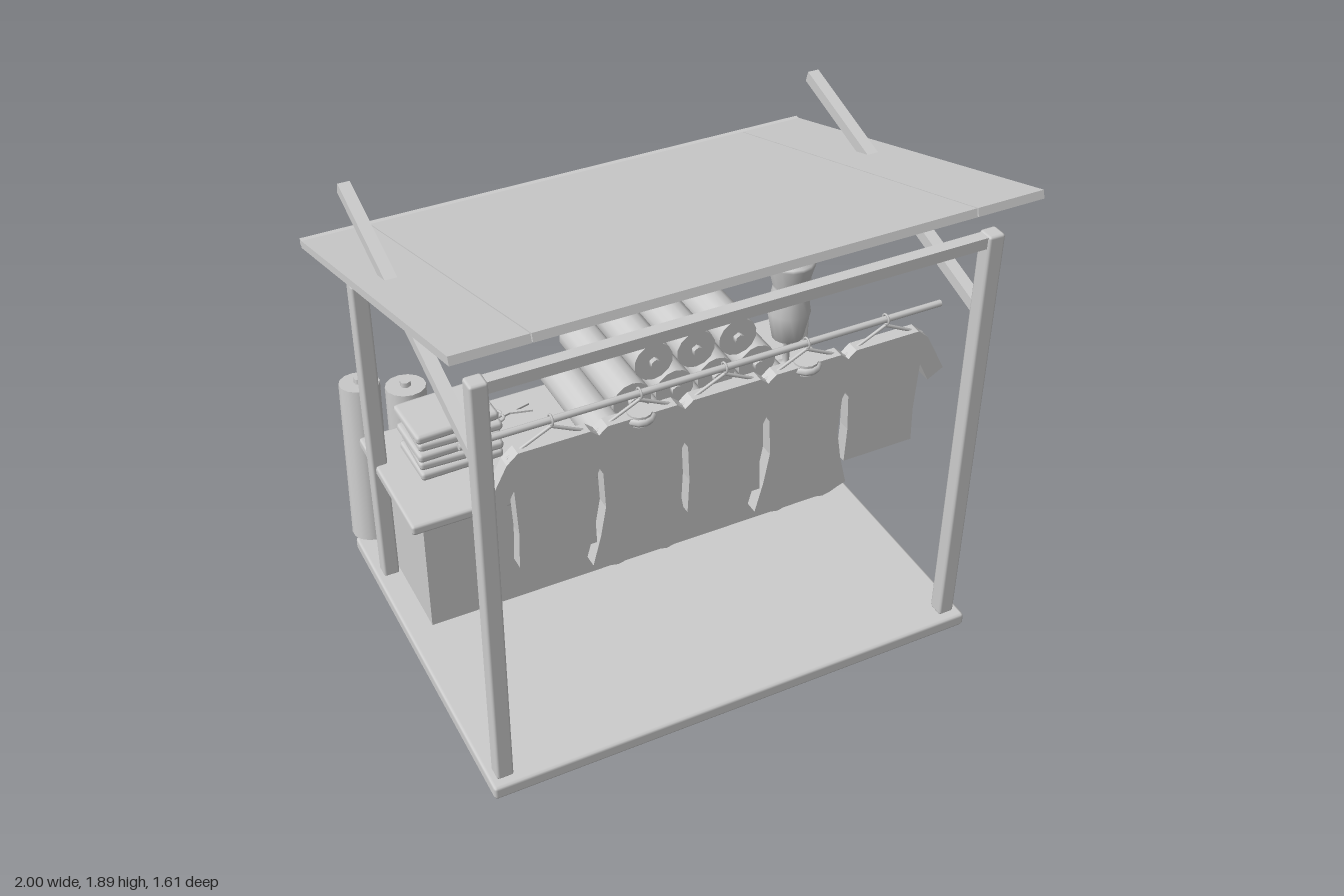
import * as THREE from 'three';
import { RoundedBoxGeometry } from 'three/addons/geometries/RoundedBoxGeometry.js';

const grey = new THREE.MeshStandardMaterial({ color: 0xcccccc });
grey.name = 'plain grey';

function add(parent, name, geometry, x = 0, y = 0, z = 0) {
  const mesh = new THREE.Mesh(geometry, grey);
  mesh.name = name;
  mesh.position.set(x, y, z);
  parent.add(mesh);
  return mesh;
}

function group(parent, name, x = 0, y = 0, z = 0) {
  const g = new THREE.Group();
  g.name = name;
  g.position.set(x, y, z);
  parent.add(g);
  return g;
}

const box = (w, h, d) => new THREE.BoxGeometry(w, h, d);
const rounded = (w, h, d, r = 0.01) => new RoundedBoxGeometry(w, h, d, 1, r);

// Cylinder of cloth along y, with a core that sticks out of both ends
function clothRoll(parent, name, length) {
  const roll = group(parent, name);
  add(roll, 'rolledCloth', new THREE.CylinderGeometry(0.078, 0.078, length, 14));
  add(roll, 'rollCore', new THREE.CylinderGeometry(0.021, 0.021, length + 0.04, 6));
  return roll;
}

// Tilted roll between two points
function leaningRoll(parent, bottom, top) {
  const a = new THREE.Vector3(...bottom), b = new THREE.Vector3(...top);
  const dir = b.clone().sub(a);
  const roll = clothRoll(parent, 'leaningRoll', dir.length());
  roll.position.copy(a).add(b).multiplyScalar(0.5);
  roll.quaternion.setFromUnitVectors(new THREE.Vector3(0, 1, 0), dir.normalize());
}

// Shirt or dress outline, mirrored about its middle
function garmentGeometry(dress) {
  const half = [
    [0.04, 1.235], [0.125, 1.235], [0.165, 1.2], [0.245, 1.045], [0.185, 1.01],
    [0.145, 1.09], [0.135, 0.9],
  ];
  half.push(...(dress ? [[0.155, 0.78], [0.185, 0.66]] : [[0.14, 0.76]]));
  const s = new THREE.Shape();
  s.moveTo(0, 1.235);
  half.forEach(([x, y]) => s.lineTo(x, y));
  if (dress) {
    // wavy hem
    for (let i = 1; i < 12; i++) {
      const x = 0.185 - i * 0.37 / 12;
      s.lineTo(x, 0.643 + 0.014 * Math.cos(i * Math.PI / 3));
    }
  }
  half.reverse().forEach(([x, y]) => s.lineTo(-x, y));
  s.closePath();
  const g = new THREE.ExtrudeGeometry(s, { depth: 0.048, bevelEnabled: false });
  return g.translate(0, 0, -0.024);
}

function garment(parent, x, dress) {
  const g = group(parent, dress ? 'hangingDress' : 'hangingShirt', x, 0, 0.497);
  add(g, 'cloth', garmentGeometry(dress));
  // hanger wire and hook
  const arms = [[-0.155, 1.207], [0, 1.285], [0.155, 1.207]].map(p => new THREE.Vector3(p[0], p[1], 0));
  for (let i = 0; i < 2; i++) {
    add(g, 'hangerArm', new THREE.TubeGeometry(new THREE.LineCurve3(arms[i], arms[i + 1]), 1, 0.006, 6));
  }
  const hook = add(g, 'hangerHook', new THREE.TorusGeometry(0.018, 0.004, 6, 12), 0, 1.31, 0);
  hook.rotation.y = Math.PI / 2;
  if (dress) {
    // round collar
    add(g, 'collar', new THREE.CylinderGeometry(0.043, 0.043, 0.042, 12), 0, 1.221, 0);
    const trim = add(g, 'collarTrim', new THREE.TorusGeometry(0.042, 0.014, 6, 12), 0, 1.221, 0);
    trim.rotation.x = Math.PI / 2;
  }
}

export function createModel() {
  const stall = new THREE.Group();
  stall.name = 'clothStall';

  // Floor and frame
  add(stall, 'floor', rounded(1.9, 0.055, 1.425, 0.012), 0, 0.0275, 0.067);
  for (const side of [-1, 1]) {
    add(stall, 'frontPost', rounded(0.062, 1.665, 0.062), side * 0.893, 0.883, 0.712);
    add(stall, 'backPost', rounded(0.062, 1.335, 0.062), side * 0.893, 0.718, -0.408);
    const rafter = add(stall, 'rafter', box(0.043, 0.043, 1.16), side * 0.895, 1.579, 0.128);
    rafter.rotation.x = 0.296;
  }
  add(stall, 'frontBeam', box(1.77, 0.042, 0.042), 0, 1.69, 0.712);
  add(stall, 'backBeam', box(1.79, 0.042, 0.042), 0, 1.387, -0.408);

  // Sloping roof in three panels
  const roof = group(stall, 'roof', 0, 1.643, 0.062);
  roof.rotation.x = -0.303;
  for (const [x, w] of [[-0.876, 0.248], [0, 1.496], [0.876, 0.248]]) {
    add(roof, 'roofPanel', box(w, 0.029, 1.556), x, 0, 0);
  }

  // Zigzag valance along the back edge
  const zigzag = new THREE.Shape();
  zigzag.moveTo(-1, 1.43);
  zigzag.lineTo(-1, 1.405);
  for (let i = 0; i < 8; i++) {
    zigzag.lineTo(-0.875 + i * 0.25, 1.253);
    zigzag.lineTo(-0.75 + i * 0.25, 1.405);
  }
  zigzag.lineTo(1, 1.43);
  zigzag.closePath();
  add(stall, 'valance', new THREE.ExtrudeGeometry(zigzag, { depth: 0.022, bevelEnabled: false }), 0, 0, -0.688);

  // Counter with battens on the back
  add(stall, 'counterBody', box(1.71, 0.505, 0.48), 0, 0.305, -0.29);
  add(stall, 'counterTop', rounded(1.82, 0.042, 0.57, 0.012), 0, 0.574, -0.285);
  for (let i = 0; i <= 8; i++) {
    add(stall, 'counterBatten', box(0.026, 0.5, 0.02), -0.842 + i * 0.2105, 0.305, -0.538);
  }

  // Pyramid of cloth rolls
  for (let row = 0; row < 3; row++) {
    for (let i = 0; i < 5 - row; i++) {
      const roll = clothRoll(stall, 'stackedRoll', 0.475);
      roll.rotation.x = Math.PI / 2;
      roll.position.set(-0.11 + (i + row / 2) * 0.1725, 0.675 + row * 0.147, -0.288);
    }
  }
  leaningRoll(stall, [-0.71, 0.06, -0.585], [-0.69, 0.725, -0.63]);
  leaningRoll(stall, [-0.875, 0.06, -0.655], [-0.84, 0.725, -0.725]);

  // Folded cloth
  for (let i = 0; i < 5; i++) {
    const fold = add(stall, 'foldedCloth', rounded(0.325, 0.038, 0.23, 0.015),
      -0.63 + [0, 0.005, -0.005, 0.005, -0.01][i], 0.616 + i * 0.043, -0.33);
    fold.rotation.y = [0.02, -0.03, 0.03, -0.02, 0.04][i];
  }

  // Scissors
  const scissors = group(stall, 'scissors', -0.35, 0.603, -0.45);
  for (const side of [-1, 1]) {
    const half = group(scissors, 'scissorHalf');
    half.rotation.y = side * 0.25;
    add(half, 'blade', box(0.12, 0.008, 0.014), 0.03, 0, 0);
    const ring = add(half, 'fingerRing', new THREE.TorusGeometry(0.02, 0.006, 6, 12), -0.05, 0, 0);
    ring.rotation.x = Math.PI / 2;
  }

  // Dress form on a stand
  const profile = [
    [0, 0.595], [0.06, 0.595], [0.05, 0.605], [0.018, 0.618], [0.013, 0.64], [0.013, 0.74],
    [0.062, 0.755], [0.086, 0.88], [0.066, 0.985], [0.07, 1.0], [0.094, 1.095],
    [0.088, 1.105], [0.04, 1.152], [0.02, 1.16], [0, 1.16],
  ].map(p => new THREE.Vector2(...p));
  add(stall, 'dressForm', new THREE.LatheGeometry(profile, 14), 0.737, 0, -0.24);

  // Clothes rail and garments
  const rail = add(stall, 'clothesRail', new THREE.CylinderGeometry(0.012, 0.012, 1.77, 8), 0, 1.31, 0.497);
  rail.rotation.z = Math.PI / 2;
  for (let i = 0; i < 5; i++) garment(stall, -0.575 + i * 0.31, i % 2 === 1);

  return stall;
}
